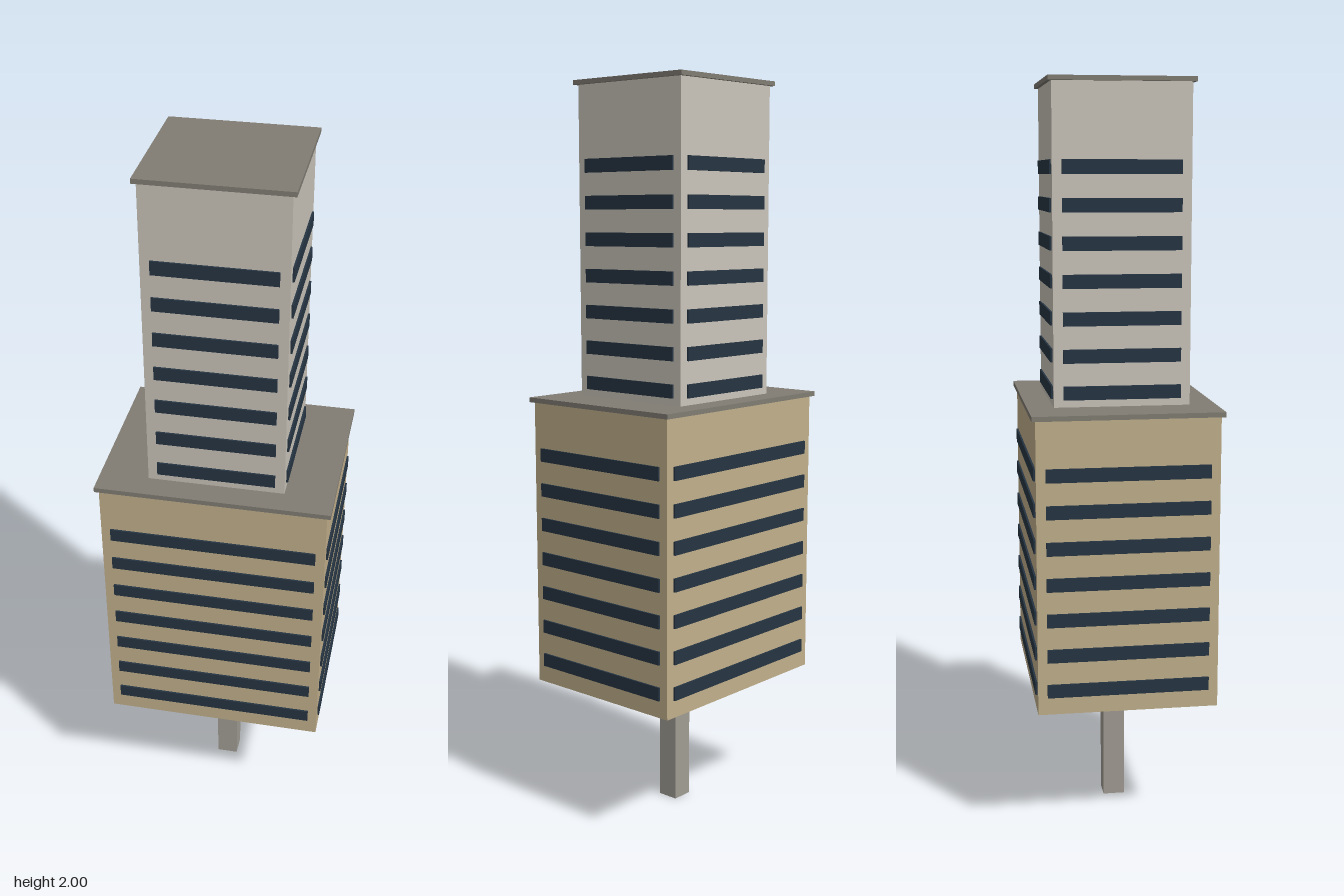
import * as THREE from 'three';

const material = (color) => new THREE.MeshStandardMaterial({ color });

export function createModel() {
  const model = new THREE.Group();
  const sand = material(0xc2b08c);
  const stone = material(0xcac4ba);
  const roofGrey = material(0x817d74);
  const concrete = material(0xa19d94);
  const glass = material(0x263543);

  // Box given by its width, depth and vertical span
  function block(parent, name, mat, w, d, y0, y1, x = 0, z = 0) {
    const mesh = new THREE.Mesh(new THREE.BoxGeometry(w, y1 - y0, d), mat);
    mesh.name = name;
    mesh.position.set(x, (y0 + y1) / 2, z);
    parent.add(mesh);
  }

  // Seven ribbon windows on each of the four walls
  function windows(parent, w, d, firstY, inset) {
    const step = 0.0963, half = 0.018, thick = 0.01;
    for (let i = 0; i < 7; i++) {
      const y0 = firstY + i * step - half, y1 = y0 + half * 2;
      for (const s of [-1, 1]) {
        block(parent, 'ribbonWindow', glass, w - inset, thick, y0, y1, 0, s * d / 2);
        block(parent, 'ribbonWindow', glass, thick, d - inset, y0, y1, s * w / 2, 0);
      }
    }
  }

  // Central support under the building
  const support = new THREE.Group();
  support.name = 'support';
  block(support, 'column', concrete, 0.06, 0.06, 0, 0.33);
  block(support, 'columnCap', concrete, 0.22, 0.08, 0.33, 0.355);

  // Wide lower block with its overhanging roof
  const lower = new THREE.Group();
  lower.name = 'lowerBlock';
  block(lower, 'lowerWalls', sand, 0.6, 0.48, 0.365, 1.15);
  block(lower, 'lowerRoof', roofGrey, 0.62, 0.5, 1.15, 1.163);
  windows(lower, 0.6, 0.48, 0.43, 0.05);

  // Slim tower, its core running down through the lower block
  const tower = new THREE.Group();
  tower.name = 'tower';
  block(tower, 'towerWalls', stone, 0.36, 0.36, 0.364, 1.988);
  block(tower, 'towerRoof', roofGrey, 0.38, 0.38, 1.988, 2);
  windows(tower, 0.36, 0.36, 1.2, 0.05);

  model.add(support, lower, tower);
  return model;
}
